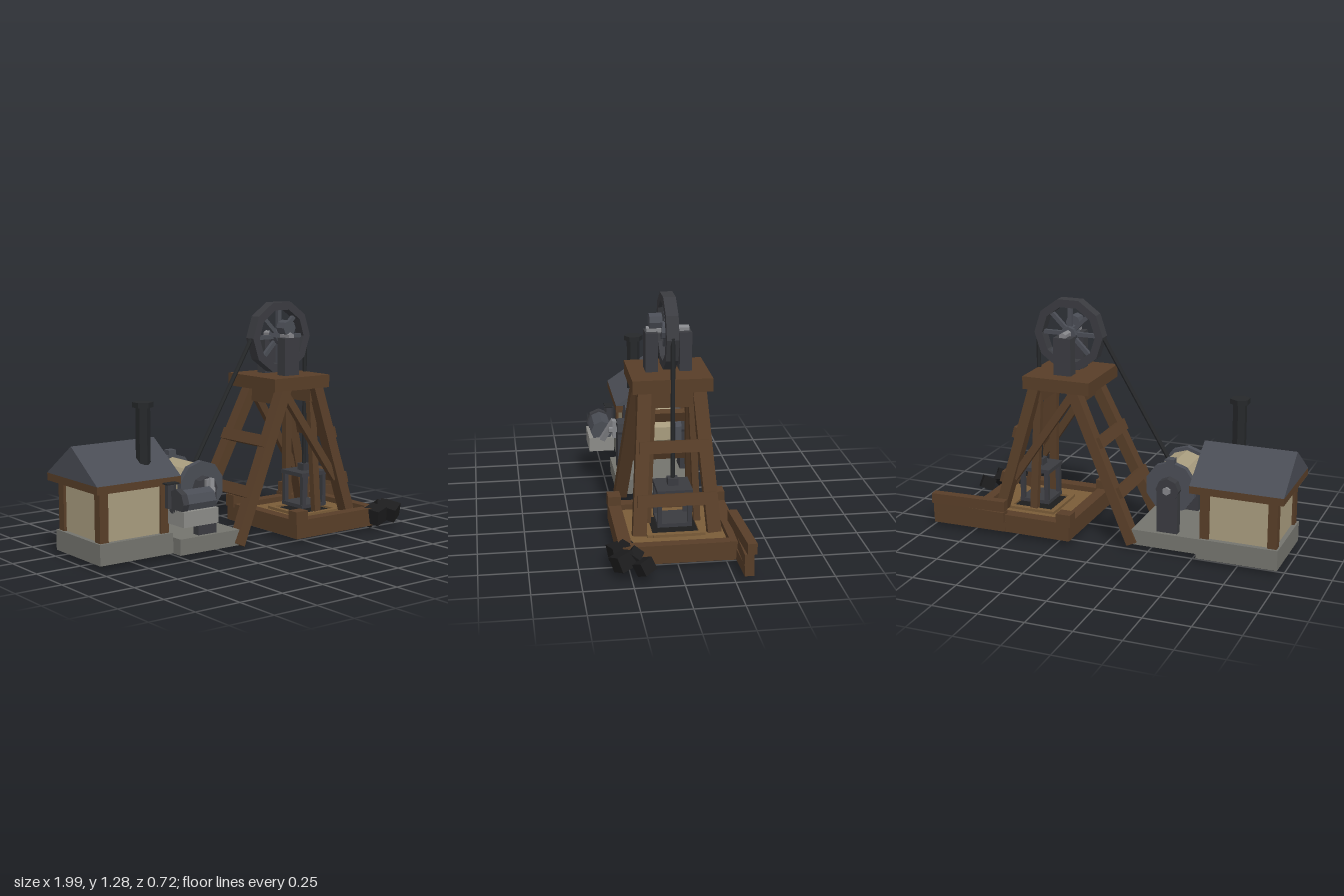
import * as THREE from 'three';

const mat = (color) => new THREE.MeshStandardMaterial({ color, flatShading: true, side: THREE.DoubleSide });
const M = {
  wood: mat(0x583e28), deck: mat(0x7a5c38), plaster: mat(0xa89c7e), concrete: mat(0x74746e),
  block: mat(0x8c8c88), slate: mat(0x4a4d55), iron: mat(0x3a3b40), black: mat(0x26282a),
  steel: mat(0x85868a), coal: mat(0x1c1c1d),
};
const ZC = -0.012; // centre plane of the headframe
const V = (x, y, z) => new THREE.Vector3(x, y, z);

export function createModel() {
  const root = new THREE.Group();
  let group = root;

  const part = (name) => {
    group = new THREE.Group();
    group.name = name;
    root.add(group);
  };
  const add = (name, geo, m) => {
    const mesh = new THREE.Mesh(geo, m);
    mesh.name = name;
    group.add(mesh);
    return mesh;
  };
  // Box given by its limits on each axis
  const box = (name, m, x0, x1, y0, y1, z0, z1) => {
    const b = add(name, new THREE.BoxGeometry(x1 - x0, y1 - y0, z1 - z0), m);
    b.position.set((x0 + x1) / 2, (y0 + y1) / 2, (z0 + z1) / 2);
    return b;
  };
  // Orient a mesh so its local y runs from a to b
  const along = (mesh, a, b) => {
    const y = b.clone().sub(a).normalize();
    const ref = Math.abs(y.z) > 0.9 ? V(1, 0, 0) : V(0, 0, 1);
    const x = y.clone().cross(ref).normalize();
    mesh.quaternion.setFromRotationMatrix(new THREE.Matrix4().makeBasis(x, y, x.clone().cross(y)));
    mesh.position.copy(a).add(b).multiplyScalar(0.5);
    return mesh;
  };
  const beam = (name, m, a, b, w, d) => along(add(name, new THREE.BoxGeometry(w, a.distanceTo(b), d), m), a, b);
  const rod = (name, m, a, b, r, n = 6) => along(add(name, new THREE.CylinderGeometry(r, r, a.distanceTo(b), n), m), a, b);
  const disc = (name, m, x, y, z0, z1, r, n) => {
    const g = new THREE.CylinderGeometry(r, r, z1 - z0, n).rotateX(Math.PI / 2);
    const d = add(name, g, m);
    d.position.set(x, y, (z0 + z1) / 2);
    return d;
  };

  // Engine house
  part('engineHouse');
  box('houseFoundation', M.concrete, -0.97, -0.53, 0.02, 0.13, -0.29, 0.145);
  box('houseWalls', M.plaster, -0.945, -0.56, 0.13, 0.39, -0.262, 0.117);
  for (const x of [-0.935, -0.57]) for (const z of [-0.25, 0.105])
    box('cornerPost', M.wood, x - 0.025, x + 0.025, 0.13, 0.39, z - 0.025, z + 0.025);
  box('eaveBand', M.wood, -1, -0.5, 0.39, 0.43, -0.32, 0.175);
  const gable = new THREE.Shape([new THREE.Vector2(-0.2475, 0), new THREE.Vector2(0.2475, 0), new THREE.Vector2(0, 0.17)]);
  const roof = add('roof', new THREE.ExtrudeGeometry(gable, { depth: 0.5, bevelEnabled: false }).rotateY(Math.PI / 2), M.slate);
  roof.position.set(-1, 0.43, -0.0725);
  rod('chimney', M.black, V(-0.65, 0.49, 0.055), V(-0.65, 0.79, 0.055), 0.038);
  const cap = add('chimneyCap', new THREE.CylinderGeometry(0.055, 0.055, 0.027, 6), M.black);
  cap.position.set(-0.65, 0.798, 0.055);

  // Winding drum on its plinth
  part('winch');
  const dx = -0.342, dy = 0.345;
  box('winchPlinth', M.concrete, -0.53, -0.15, 0.02, 0.105, -0.235, 0.21);
  disc('drum', M.plaster, dx, dy, -0.135, 0.11, 0.122, 10);
  for (const s of [-1, 1]) {
    const f = ZC + s * 0.136, p = ZC + s * 0.178;
    disc('drumFlange', M.slate, dx, dy, f - 0.017, f + 0.017, 0.141, 10);
    box('bearingStand', M.iron, dx - 0.058, dx + 0.058, 0.105, 0.34, p - 0.022, p + 0.022);
    disc('bearing', M.iron, dx, dy, p - 0.024, p + 0.024, 0.064, 8);
  }
  disc('drumShaft', M.steel, dx, dy, -0.23, 0.235, 0.022, 6);
  box('brakeBlock', M.slate, dx - 0.023, dx + 0.023, 0.46, 0.505, -0.175, -0.13);

  // Steam engine driving the drum
  part('steamEngine');
  box('engineBed', M.block, -0.6, -0.385, 0.2, 0.28, 0.2, 0.343);
  rod('engineCylinder', M.slate, V(-0.575, 0.315, 0.27), V(-0.39, 0.315, 0.27), 0.063, 8);
  rod('cylinderHead', M.iron, V(-0.6, 0.315, 0.27), V(-0.565, 0.315, 0.27), 0.072, 8);
  rod('steamPipe', M.iron, V(-0.59, 0.28, 0.21), V(-0.59, 0.4, 0.21), 0.028);
  box('valveHandle', M.black, -0.625, -0.55, 0.403, 0.41, 0.19, 0.235);
  beam('connectingRod', M.steel, V(-0.375, 0.275, 0.27), V(-0.335, 0.4, 0.205), 0.028, 0.03);
  box('crank', M.steel, dx - 0.025, dx + 0.025, 0.3, 0.4, 0.195, 0.215);

  // Timber headframe
  part('headframe');
  const legs = [
    { a: V(-0.155, 0.022, 0.205), b: V(0.215, 0.82, 0.14), side: -1 },
    { a: V(0.63, 0.11, 0.193), b: V(0.435, 0.82, 0.14), side: 1 },
  ];
  for (const { a, b, side } of legs) {
    const at = (s, p) => V(p.x, p.y, ZC + s * p.z);
    for (const s of [-1, 1]) beam('frameLeg', M.wood, at(s, a), at(s, b), 0.058, 0.07);
    const tilt = Math.atan2(a.x - b.x, b.y - a.y);
    for (const y of [0.29, 0.55]) {
      const p = a.clone().lerp(b, (y - a.y) / (b.y - a.y));
      const half = p.z + 0.02;
      const rung = add('crossBeam', new THREE.BoxGeometry(0.035, 0.062, half * 2), M.wood);
      rung.position.set(p.x + side * 0.036, y, ZC);
      rung.rotation.z = tilt;
    }
    box('headBeam', M.wood, b.x - 0.025, b.x + 0.025, 0.73, 0.82, ZC - 0.13, ZC + 0.13);
  }
  for (const s of [-1, 1]) {
    beam('diagonalBrace', M.wood, V(0.215, 0.8, ZC + s * 0.14), V(0.56, 0.29, ZC + s * 0.172), 0.042, 0.035);
    beam('guidePost', M.wood, V(0.462, 0.11, ZC + s * 0.13), V(0.435, 0.82, ZC + s * 0.1), 0.042, 0.035);
  }
  box('headPlatform', M.wood, 0.1, 0.485, 0.815, 0.885, -0.218, 0.194);

  // Sheave wheel: ten-sided rim, spokes, axle and bearing posts
  part('sheaveWheel');
  const wx = 0.29, wy = 1.09;
  const ring = (r) => Array.from({ length: 10 }, (_, i) =>
    new THREE.Vector2(Math.cos((i * Math.PI) / 5) * r, Math.sin((i * Math.PI) / 5) * r));
  const rimShape = new THREE.Shape(ring(0.2));
  rimShape.holes.push(new THREE.Path(ring(0.155).reverse()));
  const rim = add('wheelRim', new THREE.ExtrudeGeometry(rimShape, { depth: 0.064, bevelEnabled: false }), M.iron);
  rim.position.set(wx, wy, ZC - 0.032);
  for (let i = 0; i < 8; i++) {
    const c = Math.cos((i * Math.PI) / 4), s = Math.sin((i * Math.PI) / 4);
    beam('spoke', M.slate, V(wx + c * 0.02, wy + s * 0.02, ZC), V(wx + c * 0.165, wy + s * 0.165, ZC), 0.022, 0.022);
  }
  disc('wheelHub', M.slate, wx, wy, ZC - 0.035, ZC + 0.035, 0.045, 8);
  disc('axle', M.steel, wx, 1.097, -0.122, 0.1, 0.021, 6);
  disc('axleCap', M.slate, wx, 1.143, 0.02, 0.086, 0.042, 8);
  for (const s of [-1, 1])
    box('bearingPost', M.iron, 0.24, 0.34, 0.885, 1.09, ZC + s * 0.088 - 0.032, ZC + s * 0.088 + 0.032);

  // Hoisting rope
  part('hoistRope');
  rod('inclinedRope', M.black, V(-0.275, 0.455, ZC), V(0.108, 1.1, ZC), 0.012);
  rod('cageRope', M.black, V(0.481, 0.34, ZC), V(0.481, 1.1, ZC), 0.012);

  // Shaft collar
  part('shaftCollar');
  box('deck', M.deck, 0.2, 0.76, 0.025, 0.09, -0.3, 0.27);
  box('shaftOpening', M.coal, 0.365, 0.6, 0.021, 0.094, ZC - 0.12, ZC + 0.12);
  for (const [z0, z1] of [[-0.33, -0.262], [0.232, 0.298]]) {
    box('sideSill', M.wood, 0.175, 0.79, 0.02, 0.12, z0, z1);
    box('cornerBlock', M.wood, 0.167, 0.25, 0.1, 0.17, z0, z1 + 0.002);
  }
  for (const [x0, x1] of [[0.175, 0.24], [0.735, 0.79]])
    box('endSill', M.wood, x0, x1, 0.021, 0.119, -0.3, 0.27);
  for (const s of [-1, 1]) {
    box('openingTrim', M.deck, 0.34, 0.625, 0.09, 0.105, ZC + s * 0.135 - 0.015, ZC + s * 0.135 + 0.015);
    box('openingTrim', M.deck, 0.4825 + s * 0.13 - 0.015, 0.4825 + s * 0.13 + 0.015, 0.09, 0.105, ZC - 0.12, ZC + 0.12);
  }

  // Lift cage
  part('liftCage');
  box('cageFloor', M.iron, 0.395, 0.57, 0.12, 0.14, ZC - 0.09, ZC + 0.09);
  box('cageRoof', M.iron, 0.39, 0.575, 0.3, 0.322, ZC - 0.092, ZC + 0.092);
  for (const x of [0.41, 0.555]) for (const s of [-1, 1])
    box('cagePost', M.iron, x - 0.012, x + 0.012, 0.12, 0.3, ZC + s * 0.078 - 0.012, ZC + s * 0.078 + 0.012);
  box('ropeSocket', M.iron, 0.455, 0.507, 0.322, 0.36, ZC - 0.027, ZC + 0.027);

  // Stacked planks behind the collar
  part('plankStack');
  [[0.77, 0.05, -0.315, 0.02], [0.772, 0.107, -0.322, -0.02], [0.775, 0.165, -0.322, 0.045]].forEach(([x, y, z, yaw]) => {
    const p = add('plank', new THREE.BoxGeometry(0.435, 0.058, 0.048), M.wood);
    p.position.set(x, y, z);
    p.rotation.y = yaw;
  });

  // Coal lumps
  part('coalPile');
  [[0.75, 0.08, 0.295, 0.095, 0.3], [0.87, 0.085, 0.29, 0.09, 0.5], [0.85, 0.095, 0.235, 0.07, 1.1],
    [0.925, 0.075, 0.19, 0.075, 0.6], [0.73, 0.06, 0.25, 0.08, 0.9]].forEach(([x, y, z, size, turn]) => {
    const c = add('coalLump', new THREE.BoxGeometry(size, size * 0.9, size), M.coal);
    c.position.set(x, y, z);
    c.rotation.set(turn * 0.5, turn, turn * 0.4);
  });
  return root;
}
